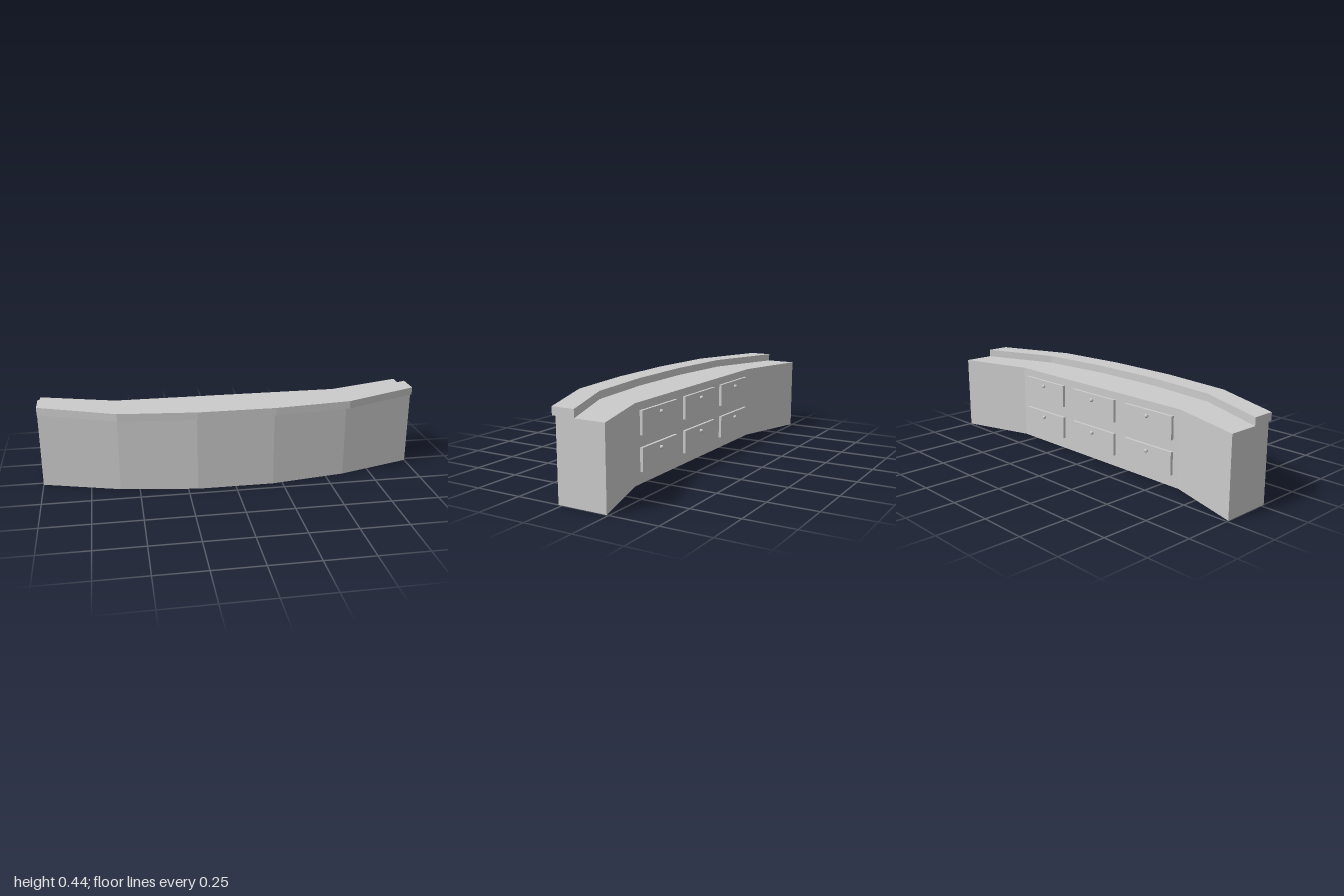
import * as THREE from 'three';

const material = new THREE.MeshStandardMaterial({ color: 0xcccccc, flatShading: true });

function addMesh(parent, name, geometry, x = 0, y = 0, z = 0) {
  const mesh = new THREE.Mesh(geometry, material);
  mesh.name = name;
  mesh.position.set(x, y, z);
  parent.add(mesh);
  return mesh;
}

// Mirrored plan outline, extruded upwards. Each half edge lists [x, z] from the centre outwards.
function planExtrude(front, back, y0, y1) {
  const half = [...front, ...back.slice().reverse()];
  const mirrored = half.slice().reverse().map(([x, z]) => [-x, z]);
  const points = [...half, ...mirrored].map(([x, z]) => new THREE.Vector2(x, -z));
  const geometry = new THREE.ExtrudeGeometry(new THREE.Shape(points), {
    depth: y1 - y0, bevelEnabled: false,
  });
  geometry.rotateX(-Math.PI / 2);
  geometry.translate(0, y0, 0);
  return geometry;
}

export function createModel() {
  const model = new THREE.Group();
  model.name = 'curvedCounter';

  // Solid counter body: faceted bow at the front, angled wings at the back
  addMesh(model, 'counterBody', planExtrude(
    [[0.2, 0.2], [0.6, 0.14], [1, 0.02]],
    [[0.6, -0.12], [1, -0.24]],
    0, 0.4));

  // Raised ledge following the front edge with a small overhang
  addMesh(model, 'frontLedge', planExtrude(
    [[0.2, 0.24], [0.6, 0.2], [1, 0.04]],
    [[0.2, 0.12], [0.6, 0.08], [1, -0.08]],
    0.4, 0.44));

  // Two rows of three drawers on the flat back, each with a round knob
  const frontGeometry = new THREE.BoxGeometry(0.32, 0.12, 0.03);
  const knobGeometry = new THREE.SphereGeometry(0.01, 12, 8);
  for (const y of [0.12, 0.3]) {
    for (const x of [-0.4, 0, 0.4]) {
      const drawer = new THREE.Group();
      drawer.name = 'drawer';
      drawer.position.set(x, y, -0.12);
      addMesh(drawer, 'drawerFront', frontGeometry);
      addMesh(drawer, 'drawerKnob', knobGeometry, 0, 0.03, -0.021);
      model.add(drawer);
    }
  }
  return model;
}
